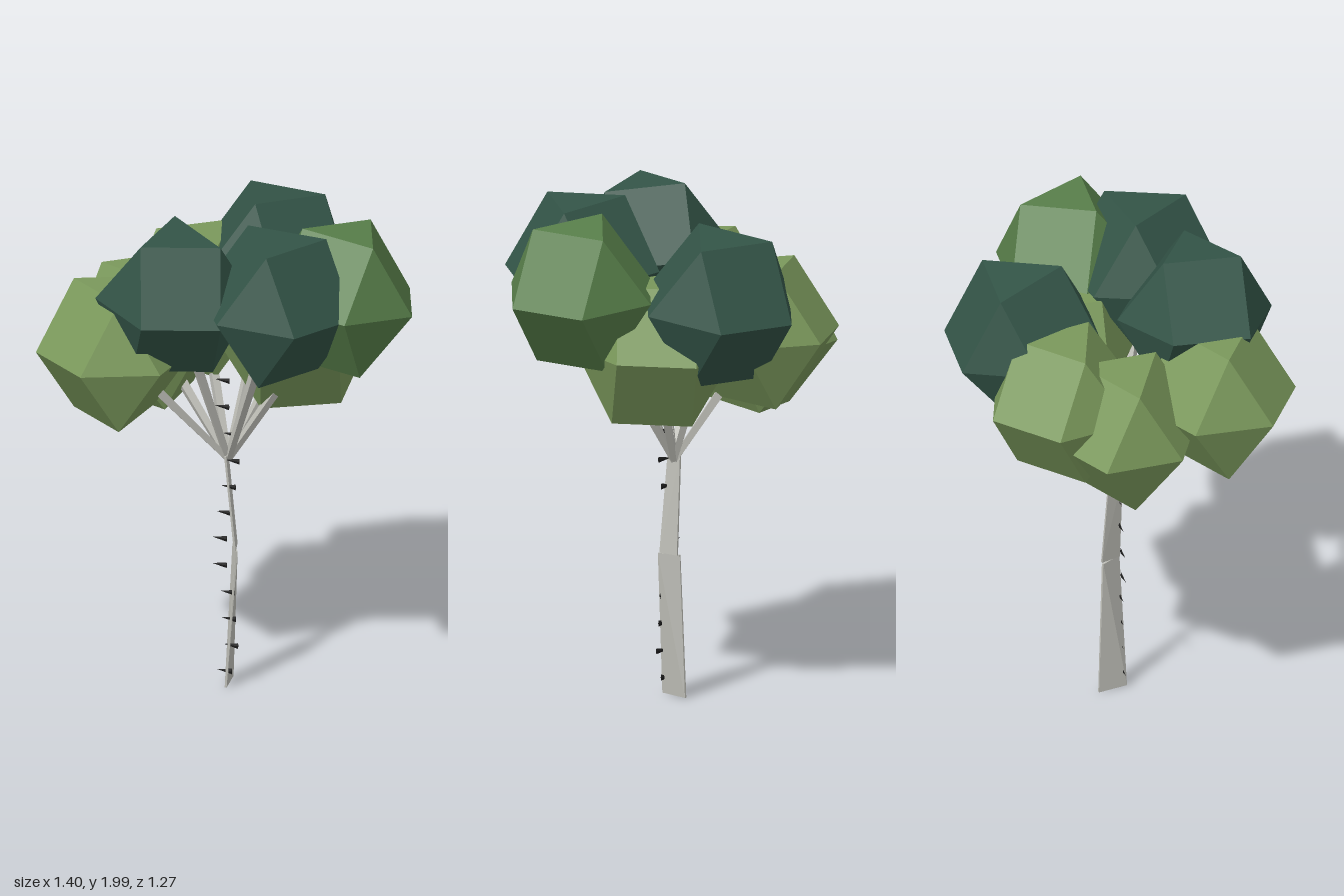
import * as THREE from 'three';
import { ConvexGeometry } from 'three/addons/geometries/ConvexGeometry.js';

const paint = (color) => new THREE.MeshStandardMaterial({ color, flatShading: true, side: THREE.DoubleSide });
const bark = paint(0xbdbdb6);
const markBlack = paint(0x1c1c1c);
const leafLight = paint(0x7a985b);
const leafGreen = paint(0x587f4a);
const leafDark = paint(0x335447);

const V = (x, y, z) => new THREE.Vector3(x, y, z);

// Leaf clump: hexagon round the middle, matching triangles above and below
function clumpGeometry(turn) {
  const points = [];
  const ring = (n, radius, y, start) => {
    for (let i = 0; i < n; i++) {
      const a = THREE.MathUtils.degToRad(start + (i * 360) / n);
      points.push(V(radius * Math.cos(a), y, radius * Math.sin(a)));
    }
  };
  ring(6, 0.31, 0, turn + 30);
  ring(3, 0.18, 0.27, turn);
  ring(3, 0.18, -0.27, turn);
  return new ConvexGeometry(points);
}

// Thin slab between two cross-section lines [x1, z1, x2, z2]
function slab(y0, a, y1, b) {
  const points = [];
  for (const [y, [x1, z1, x2, z2]] of [[y0, a], [y1, b]]) {
    const across = V(z2 - z1, 0, x1 - x2).setLength(0.004);
    for (const p of [V(x1, y, z1), V(x2, y, z2)]) {
      points.push(p.clone().add(across), p.clone().sub(across));
    }
  }
  return new ConvexGeometry(points);
}

export function createModel() {
  const model = new THREE.Group();
  const add = (name, geometry, material, parent = model) => {
    const mesh = new THREE.Mesh(geometry, material);
    mesh.name = name;
    parent.add(mesh);
    return mesh;
  };
  const group = (name) => {
    const g = new THREE.Group();
    g.name = name;
    model.add(g);
    return g;
  };

  // Two-piece blade-like trunk
  add('lowerTrunk', slab(0, [-0.055, 0.08, -0.075, -0.04], 0.57, [-0.017, 0.06, -0.063, -0.02]), bark);
  add('upperTrunk', slab(0.57, [-0.025, 0.06, -0.05, -0.02], 0.96, [-0.065, 0.06, -0.08, 0.0]), bark);

  // Clumps: centre, turn in degrees, tilt about x and z, scale, material
  const clumps = [
    [V(-0.17, 1.71, 0.32), 3, 0.05, -0.08, 1, leafDark],
    [V(0.22, 1.71, 0.235), 85, 0, -0.06, 1.02, leafDark],
    [V(-0.02, 1.635, -0.33), -25, -0.12, 0, 1.04, leafDark],
    [V(0.4, 1.685, 0.0), 36, -0.06, -0.08, 1, leafGreen],
    [V(-0.41, 1.465, 0.34), 184, 0, 0, 1, leafLight],
    [V(-0.42, 1.4, -0.05), 179, 0, 0.1, 1, leafLight],
    [V(-0.29, 1.48, -0.25), 170, 0, 0, 1, leafLight],
    [V(0.15, 1.44, -0.14), 5, 0, 0.06, 1, leafLight],
  ];
  const foliage = group('foliage');
  const branches = group('branches');
  const fork = V(-0.068, 0.94, 0.025);
  for (const [centre, turn, tiltX, tiltZ, scale, material] of clumps) {
    const clump = add('leafClump', clumpGeometry(turn), material, foliage);
    clump.position.copy(centre);
    clump.rotation.set(tiltX, 0, tiltZ);
    clump.scale.setScalar(scale);

    // Branch widening from the fork into the clump
    const dir = centre.clone().sub(fork);
    const length = dir.length() * 0.7;
    dir.normalize();
    const geo = new THREE.CylinderGeometry(0.024, 0.016, length, 4).translate(0, length / 2, 0);
    const branch = add('branch', geo, bark, branches);
    branch.position.copy(fork);
    branch.quaternion.setFromUnitVectors(V(0, 1, 0), dir);
  }

  // Flat dark bark marks up the front edge
  const marks = group('barkMarks');
  const markX = [-0.065, -0.04, -0.05, -0.055, -0.09, -0.09, -0.075, -0.055, -0.04, -0.05, -0.085, -0.085];
  markX.forEach((x, i) => {
    const mark = add('barkMark', new THREE.ConeGeometry(0.012, 0.06, 4), markBlack, marks);
    mark.rotation.z = Math.PI / 2;
    mark.scale.z = 0.3;
    mark.position.set(x, 0.065 + i * 0.11, 0.065 - i * 0.002);
  });
  return model;
}
